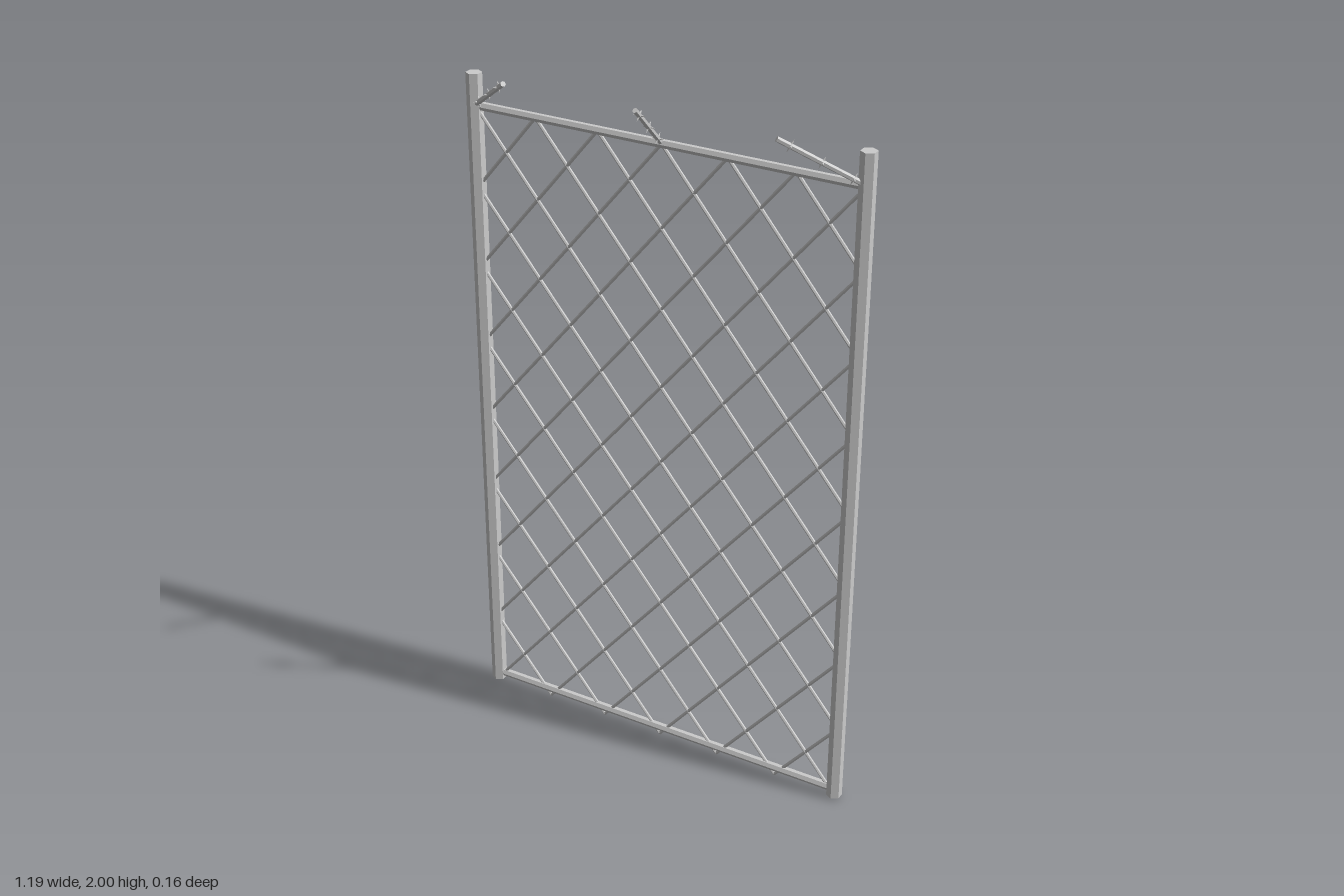
import * as THREE from 'three';

const metal = new THREE.MeshStandardMaterial({ color: 0xcccccc, flatShading: true });
const UP = new THREE.Vector3(0, 1, 0);
const V = (x, y, z) => new THREE.Vector3(x, y, z);

// Faceted rod running between two points
function rod(name, a, b, radius, sides = 6) {
  const dir = b.clone().sub(a);
  const mesh = new THREE.Mesh(new THREE.CylinderGeometry(radius, radius, dir.length(), sides), metal);
  mesh.name = name;
  mesh.position.copy(a).lerp(b, 0.5);
  mesh.quaternion.setFromUnitVectors(UP, dir.normalize());
  return mesh;
}

// Spindle with two pointed ends, centred on p and lying along dir
function spike(p, dir) {
  const geo = new THREE.SphereGeometry(1, 6, 2).scale(0.0045, 0.018, 0.0045);
  const mesh = new THREE.Mesh(geo, metal);
  mesh.name = 'barb';
  mesh.position.copy(p);
  mesh.quaternion.setFromUnitVectors(UP, dir);
  return mesh;
}

// Slanted arm carrying three crossed barbs
function barbedArm(name, a, b) {
  const group = new THREE.Group();
  group.name = name;
  group.add(rod('arm', a, b, 0.0075));
  const dir = b.clone().sub(a).normalize();
  const side = UP.clone().cross(dir).normalize();
  const lift = dir.clone().cross(side).normalize();
  for (const t of [0.15, 0.5, 0.85]) {
    const p = a.clone().lerp(b, t);
    group.add(spike(p, side), spike(p, lift));
  }
  return group;
}

export function createModel() {
  const model = new THREE.Group();
  model.name = 'fencePanel';
  const X = 0.577, Z = -0.06;

  // Hexagonal posts
  for (const s of [1, -1]) {
    model.add(rod(s > 0 ? 'leftPost' : 'rightPost', V(s * X, 0.007, Z), V(s * X, 1.957, Z), 0.0225));
  }

  // Horizontal rails
  model.add(rod('topRail', V(-X, 1.866, Z), V(X, 1.866, Z), 0.012));
  model.add(rod('bottomRail', V(-X, 0.029, Z), V(X, 0.029, Z), 0.012));

  // Diamond mesh: diagonals of a 6 by 8 grid, mirrored
  const mesh = new THREE.Group();
  mesh.name = 'wireMesh';
  const cols = 6, rows = 8, dx = 2 * X / cols, dy = 0.2325, y0 = 0.005;
  for (let d = 1 - rows; d < cols; d++) {
    const i = Math.max(0, d), j = Math.max(0, -d);
    const n = Math.min(cols - i, rows - j);
    for (const s of [1, -1]) {
      mesh.add(rod('wire',
        V(s * (i * dx - X), y0 + j * dy, Z),
        V(s * ((i + n) * dx - X), y0 + (j + n) * dy, Z), 0.005));
    }
  }
  model.add(mesh);

  // Barbed arms leaning forward, the outer two turned inward
  model.add(barbedArm('middleArm', V(0, 1.866, Z), V(0, 1.994, 0.071)));
  for (const s of [1, -1]) {
    model.add(barbedArm(s > 0 ? 'leftArm' : 'rightArm', V(s * X, 1.866, Z), V(s * 0.393, 1.994, 0.071)));
  }
  return model;
}
